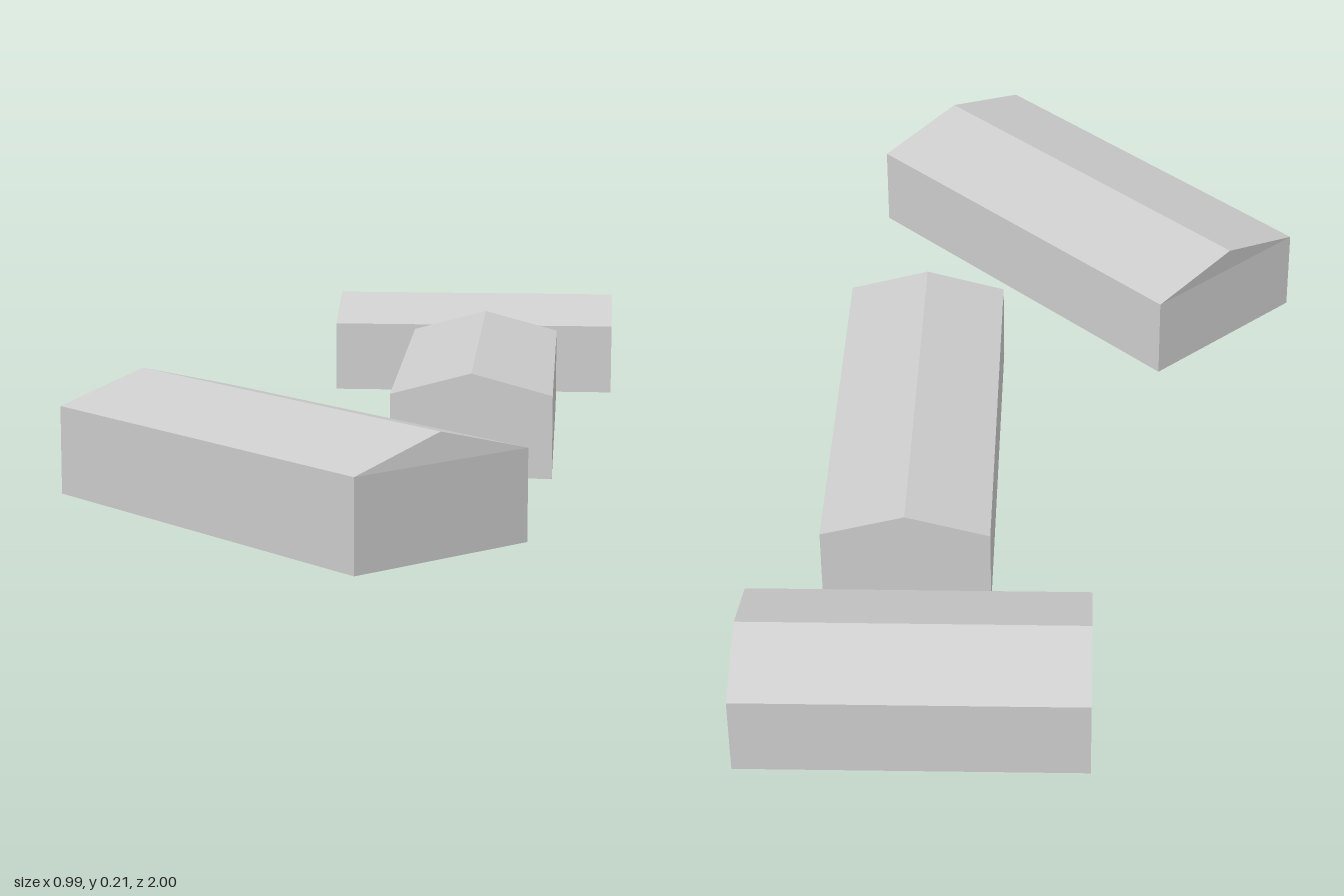
import * as THREE from 'three';

const grey = new THREE.MeshStandardMaterial({ color: 0xcccccc, side: THREE.DoubleSide });
grey.name = 'plain grey';

// Mesh from a list of polygons, each split into a fan of flat triangles
function faces(name, polygons) {
  const points = [];
  for (const p of polygons) {
    for (let i = 1; i < p.length - 1; i++) points.push(p[0], p[i], p[i + 1]);
  }
  const geometry = new THREE.BufferGeometry().setFromPoints(points);
  geometry.computeVertexNormals();
  const mesh = new THREE.Mesh(geometry, grey);
  mesh.name = name;
  return mesh;
}

// Open-bottomed gabled shell: footprint as [x, z] corners, counter-clockwise
// from above, with gables on the first and third sides
function building(name, footprint, eave, ridge, ridgeShift = 0) {
  const base = footprint.map(([x, z]) => new THREE.Vector3(x, 0, z));
  const top = footprint.map(([x, z]) => new THREE.Vector3(x, eave, z));
  const peakA = top[0].clone().lerp(top[1], 0.5).setY(ridge);
  const peakB = top[2].clone().lerp(top[3], 0.5).setY(ridge);
  const shift = peakB.clone().sub(peakA).setLength(ridgeShift);
  peakA.add(shift);
  peakB.add(shift);

  const group = new THREE.Group();
  group.name = name;
  group.add(faces('walls', base.map((b, i) => {
    const j = (i + 1) % 4;
    return [b, base[j], top[j], top[i]];
  })));
  group.add(faces('gables', [[top[0], top[1], peakA], [top[2], top[3], peakB]]));
  group.add(faces('roof', [
    [top[1], top[2], peakB, peakA],
    [top[3], top[0], peakA, peakB],
  ]));
  return group;
}

export function createModel() {
  const model = new THREE.Group();
  model.name = 'buildings';
  model.add(
    // Ridge runs along x
    building('backBuilding',
      [[-0.1, -1], [-0.1, -0.705], [0.495, -0.705], [0.495, -1]], 0.144, 0.193),
    // Ridge runs along z
    building('middleBuilding',
      [[0.079, 0.222], [0.378, 0.222], [0.378, -0.568], [0.079, -0.568]], 0.155, 0.195),
    // Turned building, its ridge slightly offset along its length
    building('frontBuilding',
      [[0.075, 1], [0.343, 0.738], [-0.23, 0.165], [-0.498, 0.42]], 0.16, 0.209, 0.007),
  );
  return model;
}
